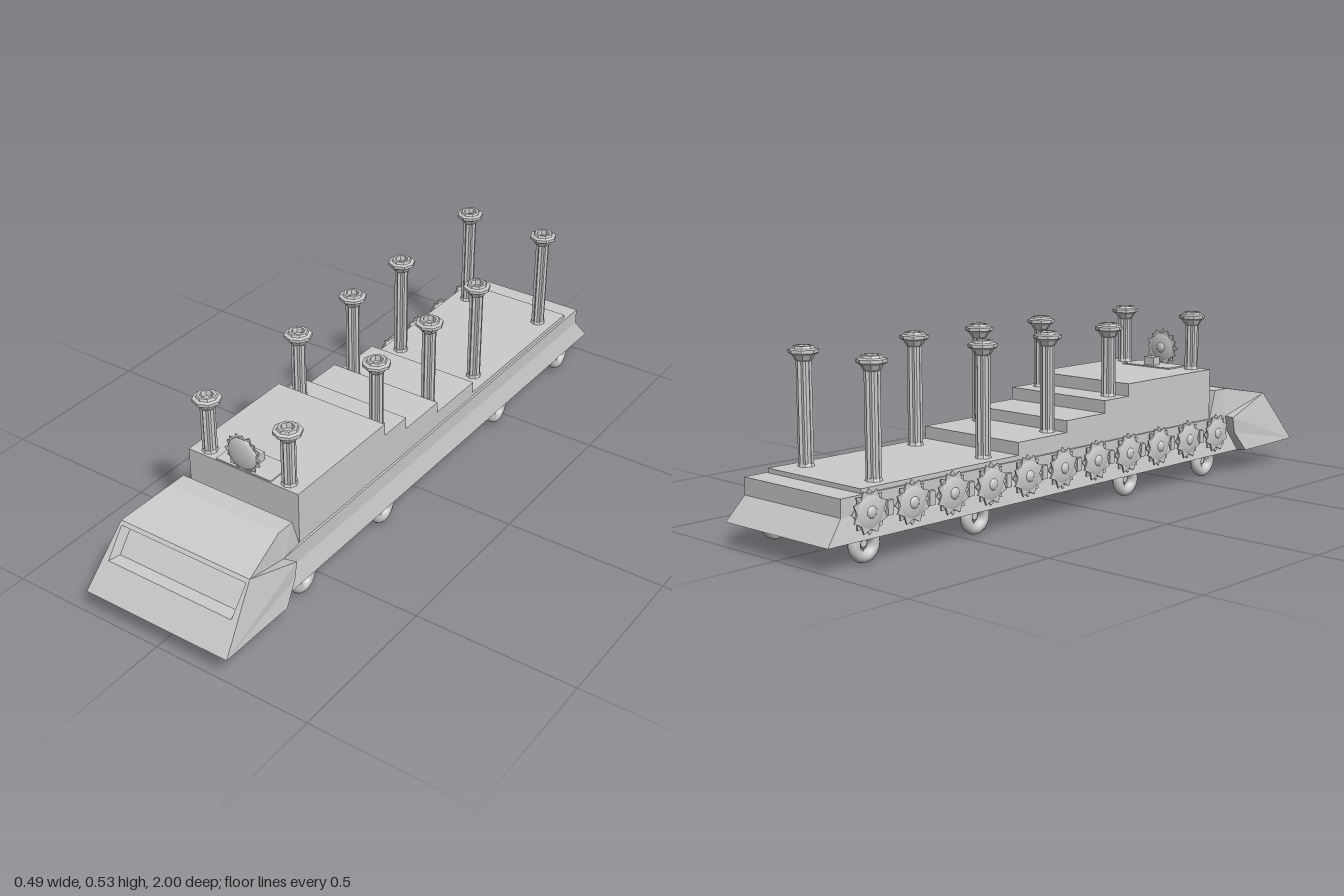
import * as THREE from 'three';

const flat = new THREE.MeshStandardMaterial({ color: 0xcccccc, flatShading: true, side: THREE.DoubleSide });
const smooth = new THREE.MeshStandardMaterial({ color: 0xcccccc });

function add(parent, name, geometry, material = flat, x = 0, y = 0, z = 0) {
  const mesh = new THREE.Mesh(geometry, material);
  mesh.name = name;
  mesh.position.set(x, y, z);
  parent.add(mesh);
  return mesh;
}

// Flat polygons turned to face away from a centre point
function panels(polygons, centre) {
  const pos = [];
  for (const poly of polygons) {
    const p = poly.map(c => new THREE.Vector3(...c));
    for (let i = 1; i < p.length - 1; i++) {
      const tri = new THREE.Triangle(p[0], p[i], p[i + 1]);
      const n = tri.getNormal(new THREE.Vector3());
      const out = tri.getMidpoint(new THREE.Vector3()).sub(centre);
      const order = n.dot(out) < 0 ? [p[0], p[i + 1], p[i]] : [p[0], p[i], p[i + 1]];
      for (const v of order) pos.push(v.x, v.y, v.z);
    }
  }
  const g = new THREE.BufferGeometry();
  g.setAttribute('position', new THREE.Float32BufferAttribute(pos, 3));
  g.computeVertexNormals();
  return g;
}

const mirror = poly => poly.map(([x, y, z]) => [-x, y, z]);
const across = (a, b) => [a, b, ...mirror([b, a])];

function starShape(points, outer, inner) {
  const s = new THREE.Shape();
  for (let i = 0; i < points * 2; i++) {
    const a = (i / points) * Math.PI + Math.PI / 2;
    const r = i % 2 ? inner : outer;
    s[i ? 'lineTo' : 'moveTo'](Math.cos(a) * r, Math.sin(a) * r);
  }
  s.closePath();
  return s;
}

// Hull: open underneath and into the cab, lower half flared outwards
function makeHull() {
  const ring = (y, w, z0, z1) => [[w, y, z1], [w, y, z0], [-w, y, z0], [-w, y, z1]];
  const rings = [ring(0.07, 0.21, -1, 0.74), ring(0.137, 0.197, -0.945, 0.7), ring(0.187, 0.197, -0.945, 0.69)];
  const polys = [rings[2]];
  for (let k = 0; k < 2; k++) {
    for (let i = 0; i < 3; i++) {
      polys.push([rings[k][i], rings[k][i + 1], rings[k + 1][i + 1], rings[k + 1][i]]);
    }
  }
  return panels(polys, new THREE.Vector3(0, 0.1, -0.1));
}

// Cab: wedge-shaped shell with a recessed windscreen and side wings that overlap the hull
function makeCab() {
  const roofRear = [0.19, 0.275, 0.64], roofMid = [0.19, 0.276, 0.7], brow = [0.222, 0.245, 0.865];
  const nose = [0.244, 0.077, 1], sill = [0.244, 0.073, 0.74];
  const noseIn = [0.215, 0.069, 0.985], sillIn = [0.215, 0.069, 0.745];
  const rearMid = [0.234, 0.137, 0.69], rearTop = [0.234, 0.187, 0.68];
  const base = [0.19, 0.187, 0.612], inner = [0.197, 0.187, 0.69], innerMid = [0.197, 0.137, 0.7];
  const winTop = [0.215, 0.235, 0.873], winLow = [0.213, 0.155, 0.937];
  const deepTop = [0.206, 0.232, 0.835], deepLow = [0.204, 0.156, 0.9];
  const half = [
    [roofRear, roofMid, inner, base], [roofMid, brow, inner], [brow, rearTop, inner],
    [brow, nose, rearTop], [rearTop, nose, rearMid], [rearMid, nose, sill],
    [nose, noseIn, sillIn, sill], [brow, winTop, winLow, nose], [winTop, deepTop, deepLow, winLow],
    [rearTop, rearMid, innerMid, inner], [rearMid, sill, [0.21, 0.07, 0.74], innerMid],
  ];
  const full = [
    [roofRear, roofMid], [roofMid, brow], [brow, winTop], [winLow, nose], [nose, noseIn],
    [noseIn, sillIn], [roofRear, base], [winTop, deepTop], [deepTop, deepLow], [deepLow, winLow],
  ].map(([a, b]) => across(a, b));
  return panels([...half, ...half.map(mirror), ...full], new THREE.Vector3(0, 0.16, 0.8));
}

// Rayed disc: dome on its +z face, small hub on its back
function makeSun(name) {
  const sun = new THREE.Group();
  sun.name = name;
  const dome = new THREE.SphereGeometry(0.05, 24, 12).scale(1, 1, 0.24);
  add(sun, 'dome', dome, smooth, 0, 0, 0.002);
  add(sun, 'hub', new THREE.SphereGeometry(0.017, 16, 10).scale(1, 1, 0.5), smooth, 0, 0, -0.007);
  for (const side of [0, 1]) {
    const rays = new THREE.ExtrudeGeometry(starShape(8, 0.061, 0.045), { depth: 0.004, bevelEnabled: false });
    add(sun, 'rays', rays, flat, 0, 0, -0.004 * side).rotation.z = side * Math.PI / 8;
  }
  return sun;
}

// Fluted chimney with an eight-sided crown
function makeChimney(base) {
  const g = new THREE.Group();
  g.name = 'chimney';
  const shaft = new THREE.ExtrudeGeometry(starShape(8, 0.0215, 0.0165), { depth: 0.495 - base, bevelEnabled: false });
  add(g, 'shaft', shaft.rotateX(-Math.PI / 2), flat, 0, base, 0);
  add(g, 'foot', new THREE.CylinderGeometry(0.021, 0.024, 0.008, 8), flat, 0, base + 0.004, 0);
  const crown = [[0.018, 0.488], [0.025, 0.494], [0.031, 0.505], [0.042, 0.512], [0.042, 0.521],
    [0.031, 0.524], [0.028, 0.531], [0.02, 0.531], [0.018, 0.515], [0, 0.515]];
  add(g, 'crown', new THREE.LatheGeometry(crown.map(p => new THREE.Vector2(...p)), 8));
  return g;
}

export function createModel() {
  const model = new THREE.Group();
  model.name = 'wagon';
  add(model, 'hull', makeHull());
  add(model, 'cab', makeCab());

  // Stepped deck: [top, rear z]
  const tiers = [[0.2, -0.87], [0.237, -0.285], [0.272, -0.08], [0.31, 0.09], [0.348, 0.2]];
  let floor = 0.187;
  for (const [top, rear] of tiers) {
    add(model, 'deckTier', new THREE.BoxGeometry(0.38, top - floor, 0.61 - rear), flat, 0, (top + floor) / 2, (0.61 + rear) / 2);
    floor = top;
  }

  // Chimneys: [z, base height]
  for (const [z, base] of [[0.58, 0.348], [0.167, 0.31], [-0.107, 0.237], [-0.373, 0.2], [-0.78, 0.2]]) {
    for (const side of [-1, 1]) {
      const chimney = makeChimney(base);
      chimney.position.set(side * 0.138, 0, z);
      model.add(chimney);
    }
  }

  // Wheels and axles
  for (const z of [0.59, 0.2, -0.45, -0.855]) {
    for (const side of [-1, 1]) {
      const tyre = new THREE.TorusGeometry(0.033, 0.017, 12, 28).rotateY(Math.PI / 2);
      add(model, 'wheel', tyre, smooth, side * 0.18, 0.051, z);
    }
    add(model, 'axle', new THREE.CylinderGeometry(0.011, 0.011, 0.36, 16).rotateZ(Math.PI / 2), smooth, 0, 0.053, z);
  }

  // Front emblem on its stand
  const emblem = makeSun('frontSun');
  emblem.position.set(0, 0.403, 0.604);
  model.add(emblem);
  add(model, 'standPlate', new THREE.BoxGeometry(0.19, 0.004, 0.09), flat, 0, 0.35, 0.562);
  add(model, 'standBlock', new THREE.BoxGeometry(0.04, 0.03, 0.03), flat, 0, 0.363, 0.55);

  // Row of rayed discs along the right side, hubs outwards
  for (let i = 0; i < 11; i++) {
    const z = -0.86 + i * 0.148;
    const sun = makeSun('sideSun');
    sun.rotation.y = Math.PI / 2;
    sun.position.set(-0.211, 0.142, z);
    model.add(sun);
    if (i < 10) add(model, 'sideBlock', new THREE.BoxGeometry(0.012, 0.04, 0.02), flat, -0.204, 0.14, z + 0.074);
  }
  return model;
}
